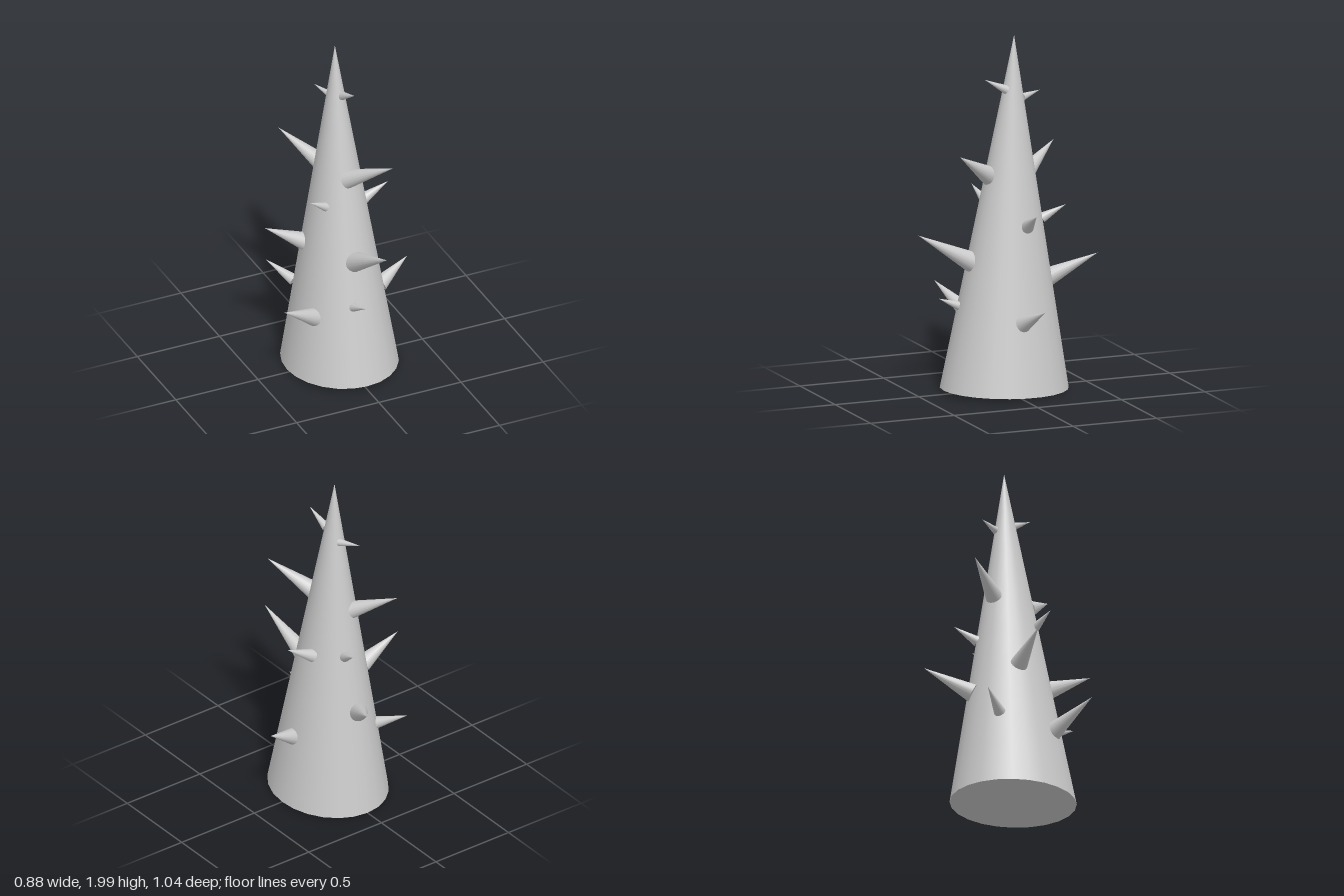
import * as THREE from 'three';

const material = new THREE.MeshStandardMaterial({ color: 0xcccccc });
const UP = new THREE.Vector3(0, 1, 0);

// Each thorn: base centre on the trunk, tip, base radius
const THORNS = [
  [[0.0, 0.62, -0.29], [0.117, 0.753, -0.52], 0.05],
  [[0.043, 0.965, -0.225], [0.083, 1.035, -0.345], 0.028],
  [[-0.055, 1.215, -0.175], [-0.195, 1.34, -0.387], 0.047],
  [[-0.187, 0.45, -0.222], [-0.285, 0.525, -0.36], 0.032],
  [[-0.19, 0.775, -0.09], [-0.408, 0.9, -0.108], 0.048],
  [[-0.22, 0.405, 0.12], [-0.443, 0.546, 0.222], 0.05],
  [[0.26, 0.425, -0.02], [0.44, 0.52, -0.07], 0.044],
  [[0.168, 0.95, -0.08], [0.322, 1.035, -0.068], 0.036],
  [[0.012, 1.22, 0.085], [0.168, 1.377, 0.325], 0.053],
  [[0.018, 1.7, -0.01], [0.03, 1.768, 0.12], 0.024],
  [[0.003, 0.745, 0.195], [0.04, 0.925, 0.52], 0.056],
  [[-0.035, 0.49, 0.25], [-0.02, 0.543, 0.373], 0.024],
  [[-0.122, 1.06, 0.062], [-0.226, 1.125, 0.09], 0.025],
  [[0.003, 1.645, -0.122], [-0.046, 1.664, -0.243], 0.021],
];

// A cone from base to tip, its foot sunk slightly into the trunk
function makeThorn([base, tip, radius]) {
  const foot = new THREE.Vector3(...base);
  const end = new THREE.Vector3(...tip);
  const dir = end.clone().sub(foot);
  const reach = dir.length();
  dir.normalize();
  const sink = radius * 0.25;
  const length = reach + sink;
  const geometry = new THREE.ConeGeometry(radius * length / reach, length, 16);
  geometry.translate(0, -length / 2, 0);
  const thorn = new THREE.Mesh(geometry, material);
  thorn.position.copy(end);
  thorn.quaternion.setFromUnitVectors(UP, dir);
  return thorn;
}

export function createModel() {
  const model = new THREE.Group();
  model.name = 'thornyCone';

  // Tall trunk, slightly oval and leaning back
  const height = 1.985;
  const trunkGeometry = new THREE.ConeGeometry(1, height, 24, 8);
  trunkGeometry.translate(0, height / 2, 0);
  trunkGeometry.scale(0.319, 1, 0.363);
  const trunk = new THREE.Mesh(trunkGeometry, material);
  trunk.name = 'trunk';
  trunk.position.set(0, 0.015, -0.01);
  trunk.rotation.x = -0.03;
  model.add(trunk);

  // Thorns scattered over the trunk
  THORNS.forEach((spec, i) => {
    const thorn = makeThorn(spec);
    thorn.name = `thorn${i + 1}`;
    model.add(thorn);
  });

  return model;
}
